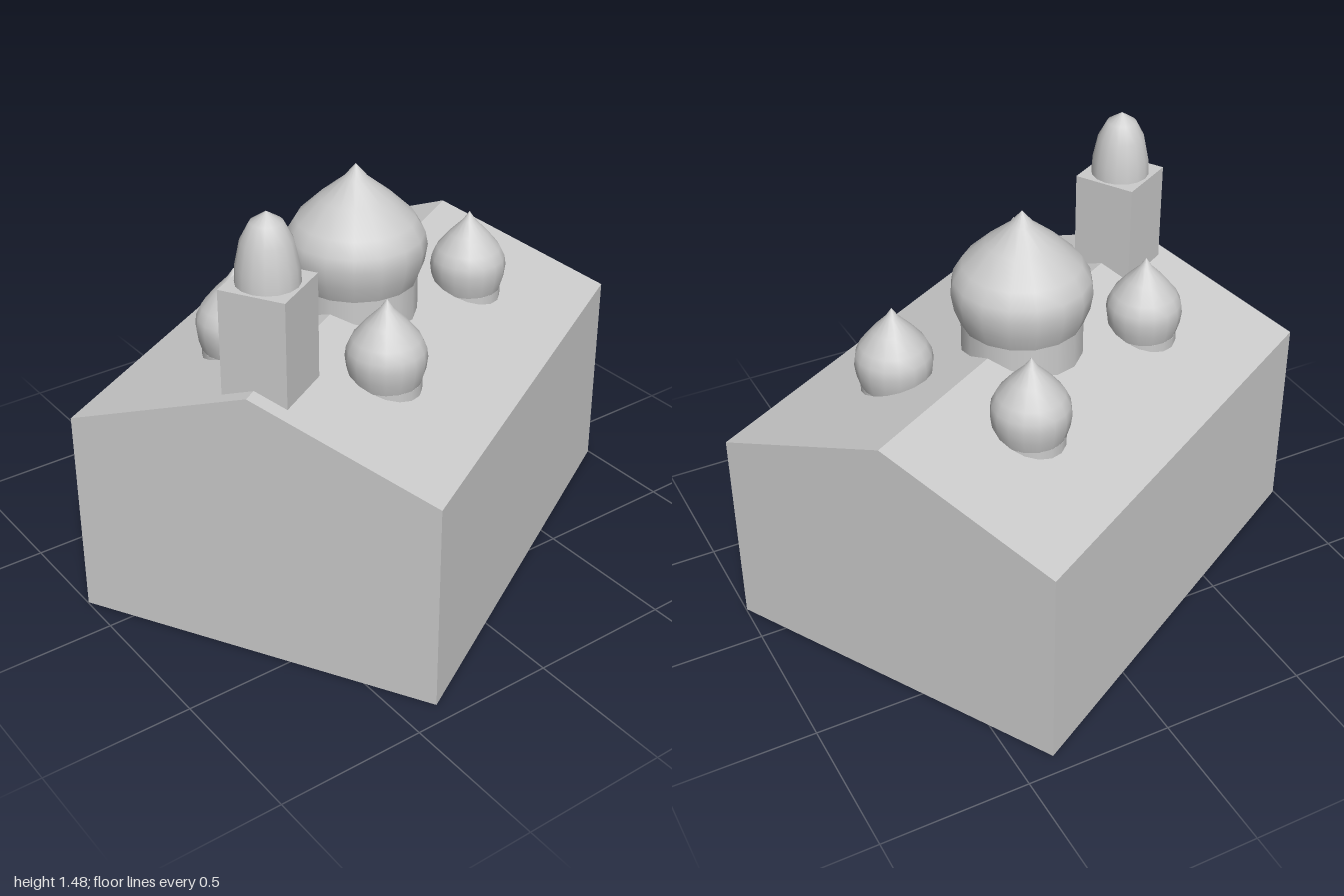
import * as THREE from 'three';

const stone = new THREE.MeshStandardMaterial({ color: 0xcccccc, side: THREE.DoubleSide });
stone.name = 'pale grey stone';

const EAVE = 0.72, RIDGE = 0.94;

function add(parent, name, geometry, x = 0, y = 0, z = 0) {
  const mesh = new THREE.Mesh(geometry, stone);
  mesh.name = name;
  mesh.position.set(x, y, z);
  parent.add(mesh);
  return mesh;
}

// Box standing on y = 0 without its floor; depthSegments splits the top for a ridge
function openBox(width, height, depth, depthSegments = 1) {
  const box = new THREE.BoxGeometry(width, height, depth, 1, 1, depthSegments);
  box.translate(0, height / 2, 0);
  const floor = box.groups[3];
  const index = Array.from(box.index.array);
  index.splice(floor.start, floor.count);
  box.setIndex(index);
  box.clearGroups();
  return box.toNonIndexed();
}

// Pointed dome profile: radius and height above the neck, bottom to top
const ONION = [
  [0.205, 0], [0.226, 0.055], [0.236, 0.115], [0.228, 0.16],
  [0.198, 0.21], [0.12, 0.285], [0.04, 0.35], [0, 0.397],
];

function onion(parent, name, x, z, neck, radiusScale, heightScale, drumRadius) {
  const group = new THREE.Group();
  group.name = name;
  group.position.set(x, 0, z);
  parent.add(group);
  const points = ONION.map(([r, y]) => new THREE.Vector2(r * radiusScale, y * heightScale));
  add(group, 'dome', new THREE.LatheGeometry(points, 16), 0, neck, 0);
  const drumHeight = neck - EAVE;
  add(group, 'drum', new THREE.CylinderGeometry(drumRadius, drumRadius, drumHeight, 16, 1, true),
    0, EAVE + drumHeight / 2, 0);
}

export function createModel() {
  const model = new THREE.Group();
  model.name = 'domedChurch';
  const church = new THREE.Group();
  church.name = 'church';
  church.rotation.y = 0.516;
  model.add(church);

  // Hollow hall with a gabled roof: lift the middle of the top to the ridge
  const hall = openBox(1.585, EAVE, 1.25, 2);
  const pos = hall.attributes.position;
  for (let i = 0; i < pos.count; i++) {
    if (pos.getY(i) > 0.1 && Math.abs(pos.getZ(i)) < 0.01) pos.setY(i, RIDGE);
  }
  hall.computeVertexNormals();
  add(church, 'hall', hall);

  // One large dome on the ridge and four small ones on the slopes
  onion(church, 'centralDome', 0, 0, 0.99, 1, 1, 0.205);
  for (const x of [-0.357, 0.357]) {
    for (const z of [-0.263, 0.263]) {
      onion(church, 'smallDome', x, z, 0.845, 0.55, 0.7, 0.113);
    }
  }

  // Square bell tower rising from the ground, with its bullet-shaped cap
  add(church, 'bellTower', openBox(0.22, 1.253, 0.22), -0.63, 0, 0);
  const cap = [[0.1, 0], [0.097, 0.055], [0.08, 0.135], [0.05, 0.192], [0, 0.225]];
  add(church, 'towerCap', new THREE.LatheGeometry(cap.map(([r, y]) => new THREE.Vector2(r, y)), 16),
    -0.63, 1.253, 0);

  return model;
}
